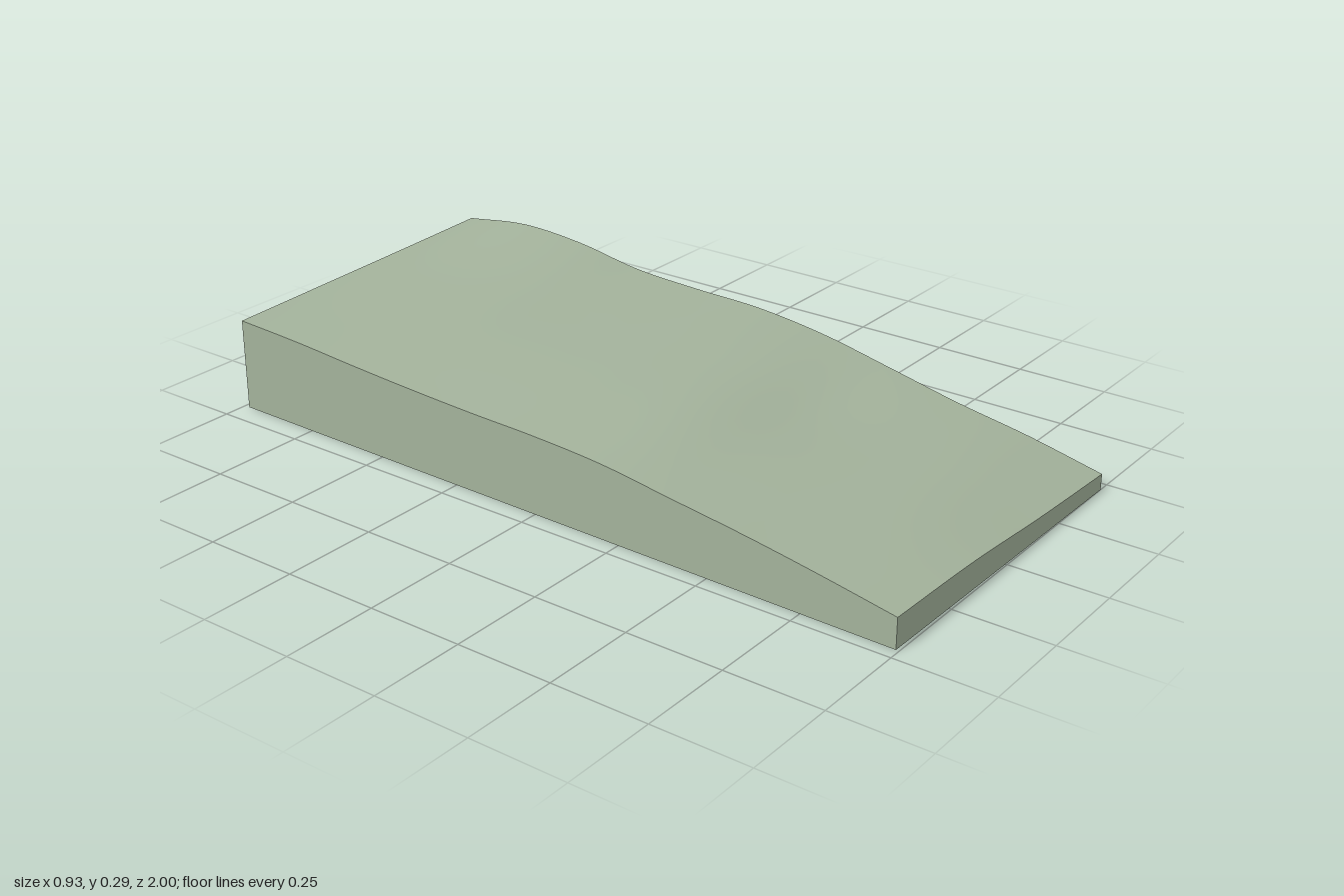
import * as THREE from 'three';

// Surface heights: one row per step from back to front, columns from -x to +x
const HEIGHTS = [
  [0.243, 0.250, 0.257, 0.265],
  [0.236, 0.247, 0.262, 0.289],
  [0.224, 0.240, 0.256, 0.278],
  [0.214, 0.231, 0.239, 0.246],
  [0.207, 0.224, 0.231, 0.235],
  [0.203, 0.217, 0.224, 0.229],
  [0.192, 0.205, 0.206, 0.205],
  [0.167, 0.163, 0.155, 0.164],
  [0.142, 0.134, 0.125, 0.121],
  [0.112, 0.110, 0.100, 0.086],
  [0.078, 0.072, 0.054, 0.042],
];
const NU = 24, NV = 60;
const lerp = THREE.MathUtils.lerp;

// Smooth curve through evenly spaced values
function spline(values, t) {
  const n = values.length - 1;
  const i = Math.min(Math.floor(t * n), n - 1), f = t * n - i;
  const b = values[i], c = values[i + 1];
  const a = i > 0 ? values[i - 1] : 2 * b - c;
  const d = i < n - 1 ? values[i + 2] : 2 * c - b;
  return b + 0.5 * f * (c - a + f * (2 * a - 5 * b + 4 * c - d + f * (3 * (b - c) + d - a)));
}

// Point on the ground surface; the plan is a slightly skewed rectangle
function surface(u, v) {
  const x = lerp(-0.435 - 0.032 * v, 0.467, u);
  const z = lerp(-0.985 - 0.015 * u, 0.992 + 0.008 * u, v);
  return new THREE.Vector3(x, spline(HEIGHTS.map((row) => spline(row, u)), v), z);
}

function geometryFrom(points, index) {
  const geo = new THREE.BufferGeometry().setFromPoints(points);
  if (index) geo.setIndex(index);
  geo.computeVertexNormals();
  return geo;
}

// Rolling upper surface
function groundGeometry() {
  const points = [], index = [];
  for (let j = 0; j <= NV; j++) {
    for (let i = 0; i <= NU; i++) {
      points.push(surface(i / NU, j / NV));
      if (i === NU || j === NV) continue;
      const a = j * (NU + 1) + i, c = a + NU + 1;
      index.push(a, c, a + 1, a + 1, c, c + 1);
    }
  }
  return geometryFrom(points, index);
}

// Upright cut face below one edge of the surface
function wallGeometry(edge, steps) {
  const points = [];
  for (let k = 0; k < steps; k++) {
    const p = edge(k / steps), q = edge((k + 1) / steps);
    const p0 = p.clone().setY(0), q0 = q.clone().setY(0);
    points.push(p0, q0, q, p0, q, p);
  }
  return geometryFrom(points);
}

export function createModel() {
  const group = new THREE.Group();
  group.name = 'terrainBlock';
  const sage = new THREE.MeshStandardMaterial({ color: 0xa3b29b });
  sage.name = 'sageGreen';
  const add = (name, geo) => {
    const mesh = new THREE.Mesh(geo, sage);
    mesh.name = name;
    group.add(mesh);
  };

  add('groundSurface', groundGeometry());
  add('frontWall', wallGeometry((t) => surface(t, 1), NU));
  add('leftWall', wallGeometry((t) => surface(1, 1 - t), NV));
  add('backWall', wallGeometry((t) => surface(1 - t, 0), NU));
  add('rightWall', wallGeometry((t) => surface(0, t), NV));

  // Flat underside
  const corners = [[0, 0], [1, 0], [1, 1], [0, 1]].map(([u, v]) => surface(u, v).setY(0));
  add('base', geometryFrom(corners, [0, 1, 2, 0, 2, 3]));
  return group;
}
